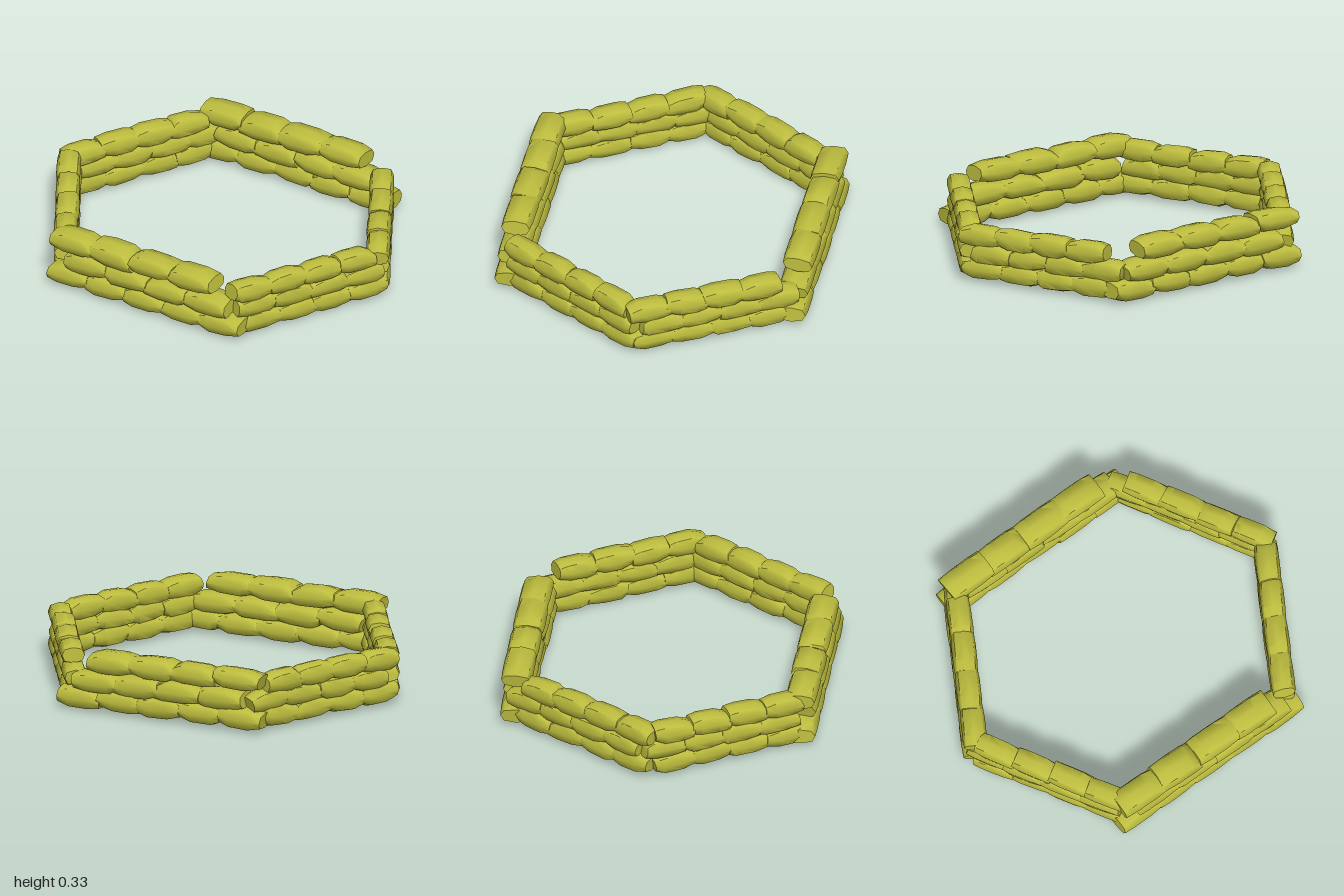
import * as THREE from 'three';
import { toCreasedNormals } from 'three/addons/utils/BufferGeometryUtils.js';

const material = new THREE.MeshStandardMaterial({ color: 0xbdbd3f, roughness: 0.9 });

// Small seeded generator, returns -1..1
let seed = 7;
function jitter() {
  seed = (seed * 16807) % 2147483647;
  return (seed / 2147483647) * 2 - 1;
}

// Filled bag along x: eight-sided sections, ridged at mid height, pinched towards blunt ends
function bagGeometry(length, height, depth) {
  const sides = 8;
  const hump = 0.2 * jitter();
  const stations = [[-1, 0.66, 0.94], [-0.45 + hump, 1, 1], [0.45 + hump, 0.97, 1], [1, 0.66, 0.94]];
  const pos = [], index = [];
  const soft = (v) => Math.sign(v) * Math.abs(v) ** 0.75;
  for (const [t, sy, sz] of stations) {
    const lift = (1 - sy) * 0.025 * jitter();
    const slantY = 0.008 * jitter(), slantZ = 0.005 * jitter();
    for (let j = 0; j < sides; j++) {
      const a = (j / sides) * Math.PI * 2;
      const y = soft(Math.sin(a)), z = soft(Math.cos(a));
      pos.push(
        t * length / 2 + slantY * y + slantZ * z,
        y * sy * height / 2 + lift,
        z * sz * depth / 2,
      );
    }
  }
  const last = (stations.length - 1) * sides;
  for (let j = 0; j < sides; j++) {
    const k = (j + 1) % sides;
    for (let i = 0; i < last; i += sides) {
      index.push(i + j, i + sides + j, i + k, i + sides + j, i + sides + k, i + k);
    }
    // Flat end caps
    if (j > 0 && j < sides - 1) {
      index.push(0, j, j + 1, last, last + j + 1, last + j);
    }
  }
  const g = new THREE.BufferGeometry();
  g.setAttribute('position', new THREE.Float32BufferAttribute(pos, 3));
  g.setIndex(index);
  return toCreasedNormals(g, 1);
}

// Wall of stacked courses; each row is [start along wall, bag count, bag pitch, centre height]
function buildWall(name, from, to, depth, rows) {
  const wall = new THREE.Group();
  wall.name = name;
  wall.position.set(from[0], 0, from[1]);
  wall.rotation.y = Math.atan2(from[1] - to[1], to[0] - from[0]);
  rows.forEach(([start, count, pitch, y], r) => {
    for (let i = 0; i < count; i++) {
      const height = 0.12 + 0.005 * jitter();
      const bag = new THREE.Mesh(bagGeometry(pitch + 0.012, height, depth * (1 + 0.02 * jitter())), material);
      bag.name = `sandbagRow${r + 1}Number${i + 1}`;
      bag.position.set(start + (i + 0.5) * pitch, y + 0.003 * jitter(), 0.003 * jitter());
      bag.rotation.set(0.1 * jitter(), 0.02 * jitter(), 0.05 * jitter());
      wall.add(bag);
    }
  });
  return wall;
}

export function createModel() {
  const group = new THREE.Group();
  group.name = 'sandbagRing';

  // Two thick straight walls, front and back
  const straightRows = [[-0.565, 5, 0.227, 0.069], [-0.46, 4, 0.237, 0.162], [-0.55, 4, 0.237, 0.27]];
  group.add(buildWall('frontWall', [0, 0.735], [1, 0.735], 0.162, straightRows));
  group.add(buildWall('backWall', [0, -0.737], [1, -0.737], 0.162, straightRows));

  // Four thinner diagonal walls, from the side corners to the front and back corners
  const diagonals = [
    ['frontLeftWall', 1, 1, [-0.02, 0, 0.045]],
    ['backLeftWall', 1, -1, [-0.02, 0.03, -0.04]],
    ['backRightWall', -1, -1, [-0.02, 0.04, -0.03]],
    ['frontRightWall', -1, 1, [0.02, -0.02, 0.03]],
  ];
  for (const [name, sx, sz, starts] of diagonals) {
    const rows = starts.map((s, r) => [s, 4, [0.208, 0.208, 0.202][r], [0.07, 0.158, 0.245][r]]);
    group.add(buildWall(name, [0.928 * sx, 0], [0.5 * sx, 0.738 * sz], 0.124, rows));
  }
  return group;
}
